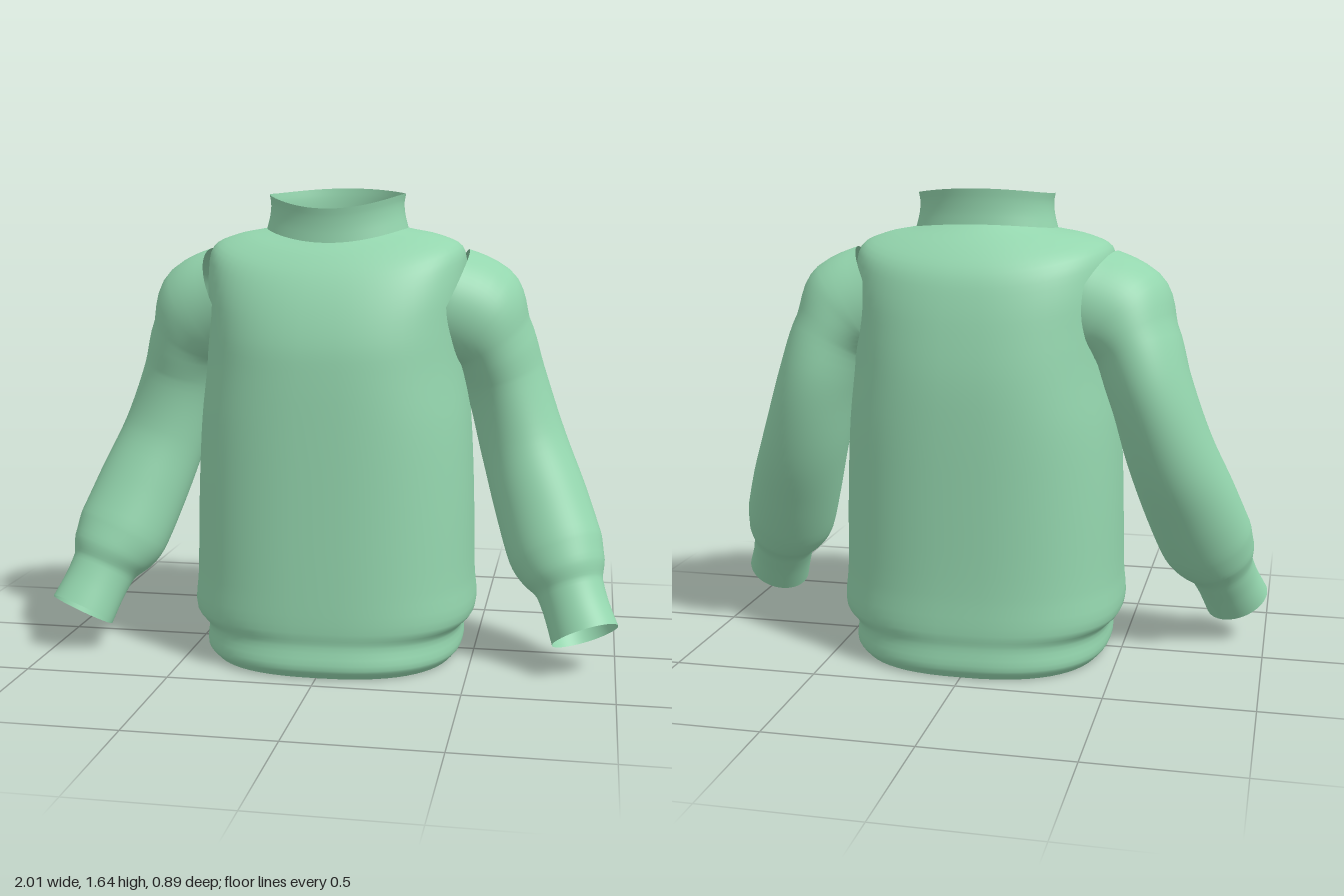
import * as THREE from 'three';

const COLS = 64;
const material = new THREE.MeshStandardMaterial({ color: 0x94d6ae, side: THREE.DoubleSide });

// Closed-ring loft: ring after ring of COLS points, joined into a smooth skin
function loft(name, rings) {
  const pos = [], index = [];
  rings.forEach(ring => ring.forEach(p => pos.push(p.x, p.y, p.z)));
  for (let r = 0; r < rings.length - 1; r++) {
    for (let i = 0; i < COLS; i++) {
      const j = (i + 1) % COLS;
      const a = r * COLS + i, b = r * COLS + j;
      index.push(a, a + COLS, b, b, a + COLS, b + COLS);
    }
  }
  const g = new THREE.BufferGeometry();
  g.setAttribute('position', new THREE.Float32BufferAttribute(pos, 3));
  g.setIndex(index);
  g.computeVertexNormals();
  const mesh = new THREE.Mesh(g, material);
  mesh.name = name;
  return mesh;
}

// Body ring: height at side, front and back, half width, front z, back z, squareness
function bodyRing([ys, yf, yb, hw, zf, zb, n]) {
  return Array.from({ length: COLS }, (_, i) => {
    const a = (i / COLS) * Math.PI * 2, c = Math.cos(a), s = Math.sin(a);
    const x = hw * Math.sign(c) * Math.abs(c) ** (2 / n);
    const k = Math.abs(s) ** (2 / n);
    const y = ys + ((s > 0 ? yf : yb) - ys) * k * k;
    return new THREE.Vector3(x, y, k * (s > 0 ? zf : zb));
  });
}

// Smooth the rings upward, column by column
function smoothRings(rings, steps) {
  const count = (rings.length - 1) * steps;
  const out = Array.from({ length: count + 1 }, () => []);
  for (let i = 0; i < COLS; i++) {
    const curve = new THREE.CatmullRomCurve3(rings.map(r => r[i]), false, 'centripetal');
    for (let k = 0; k <= count; k++) out[k].push(curve.getPoint(k / count));
  }
  return out;
}

const flat = (y, hw, zf, zb) => [y, y, y, hw, zf, zb, 2.5];

// Hem, trunk, shoulders
const BODY = [
  flat(0.005, 0.43, 0.42, -0.42),
  flat(0.04, 0.458, 0.445, -0.443),
  flat(0.115, 0.458, 0.432, -0.437),
  flat(0.165, 0.5, 0.437, -0.442),
  flat(0.3, 0.495, 0.435, -0.437),
  flat(0.6, 0.488, 0.425, -0.441),
  flat(0.85, 0.475, 0.415, -0.444),
  [1.05, 1.02, 1.02, 0.455, 0.405, -0.44, 2.45],
  [1.21, 1.13, 1.15, 0.45, 0.392, -0.425, 2.4],
  [1.36, 1.25, 1.28, 0.455, 0.355, -0.4, 2.3],
  [1.45, 1.35, 1.38, 0.44, 0.305, -0.365, 2.2],
  [1.49, 1.42, 1.46, 0.36, 0.25, -0.295, 2.1],
  [1.512, 1.465, 1.53, 0.25, 0.2, -0.2, 2],
];

const COLLAR = [
  [1.512, 1.465, 1.53, 0.25, 0.2, -0.2, 2],
  [1.56, 1.51, 1.57, 0.238, 0.197, -0.197, 2],
  [1.6, 1.55, 1.615, 0.235, 0.198, -0.198, 2],
  [1.63, 1.58, 1.65, 0.24, 0.202, -0.202, 2],
];

// Sleeve sections: centre x, y, z, then radius across and radius in depth
const SLEEVE = [
  [0.37, 1.25, -0.03, 0.21, 0.235],
  [0.47, 1.2, -0.045, 0.215, 0.23],
  [0.535, 1.12, -0.065, 0.16, 0.217],
  [0.59, 0.98, -0.088, 0.145, 0.205],
  [0.66, 0.755, -0.06, 0.153, 0.18],
  [0.73, 0.56, 0.015, 0.165, 0.163],
  [0.785, 0.41, 0.085, 0.167, 0.152],
  [0.82, 0.335, 0.125, 0.145, 0.138],
  [0.84, 0.285, 0.15, 0.117, 0.115],
  [0.865, 0.22, 0.187, 0.113, 0.107],
  [0.895, 0.145, 0.23, 0.117, 0.103],
];

function sleeve(name, side) {
  const path = new THREE.CatmullRomCurve3(
    SLEEVE.map(s => new THREE.Vector3(side * s[0], s[1], s[2])));
  const radii = new THREE.CatmullRomCurve3(
    SLEEVE.map(s => new THREE.Vector3(s[3], s[4], 0)));
  const rings = [], count = (SLEEVE.length - 1) * 5;
  for (let k = 0; k <= count; k++) {
    const t = k / count;
    const c = path.getPoint(t), r = radii.getPoint(t), T = path.getTangent(t);
    const v = new THREE.Vector3(0, 0, 1).addScaledVector(T, -T.z).normalize();
    const u = new THREE.Vector3().crossVectors(v, T);
    rings.push(Array.from({ length: COLS }, (_, i) => {
      const a = (i / COLS) * Math.PI * 2;
      return c.clone()
        .addScaledVector(u, r.x * Math.cos(a))
        .addScaledVector(v, -r.y * Math.sin(a));
    }));
  }
  return loft(name, rings);
}

export function createModel() {
  const sweater = new THREE.Group();
  sweater.name = 'sweater';
  sweater.add(
    loft('body', smoothRings(BODY.map(bodyRing), 4)),
    loft('collar', smoothRings(COLLAR.map(bodyRing), 3)),
    sleeve('leftSleeve', 1),
    sleeve('rightSleeve', -1),
  );
  return sweater;
}
